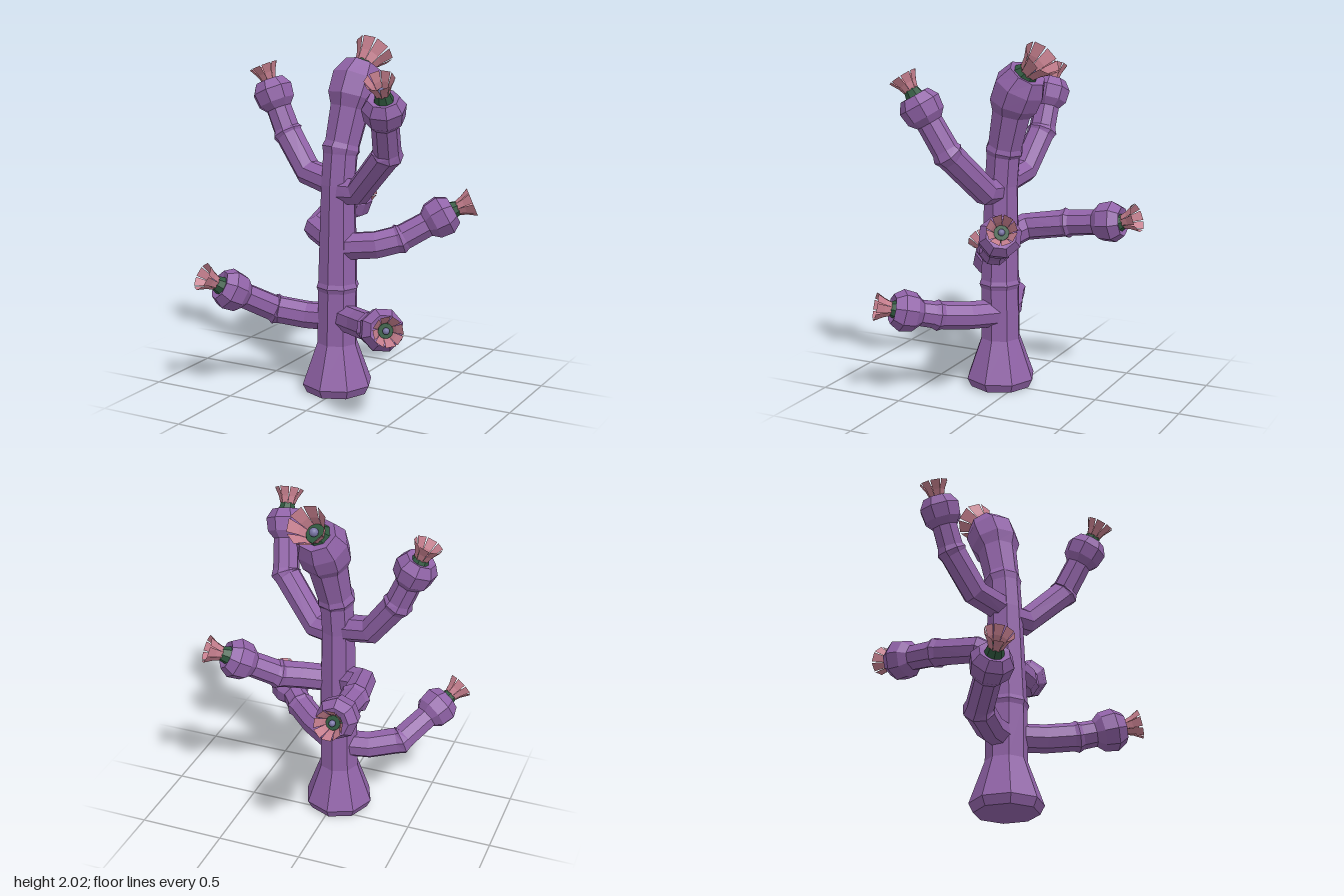
import * as THREE from 'three';

const SIDES = 8;
const V = (a) => new THREE.Vector3(a[0], a[1], a[2]);

const skin = new THREE.MeshStandardMaterial({ color: 0x9163a8 });
const petalPink = new THREE.MeshStandardMaterial({ color: 0xc67f8e, side: THREE.DoubleSide });
const calyxGreen = new THREE.MeshStandardMaterial({ color: 0x30593f });
const stamenBlue = new THREE.MeshStandardMaterial({ color: 0x7a76a6 });

// Faceted geometry from points and triangle indices
function faceted(points, index) {
  const g = new THREE.BufferGeometry();
  g.setAttribute('position', new THREE.Float32BufferAttribute(points.flatMap((p) => p.toArray()), 3));
  g.setIndex(index);
  const flat = g.toNonIndexed();
  flat.computeVertexNormals();
  return flat;
}

function mesh(name, geometry, material) {
  const m = new THREE.Mesh(geometry, material);
  m.name = name;
  return m;
}

// Sweep an octagon through rings of { p, r }, closed at both ends
function stalk(rings, startNormal) {
  const n = rings.length, pts = [], idx = [];
  const u = startNormal.clone();
  let t;
  rings.forEach(({ p, r }, i) => {
    const before = p.clone().sub(rings[Math.max(i - 1, 0)].p).normalize();
    const after = rings[Math.min(i + 1, n - 1)].p.clone().sub(p).normalize();
    t = before.add(after).normalize();
    u.addScaledVector(t, -u.dot(t)).normalize();
    const v = t.clone().cross(u);
    for (let j = 0; j < SIDES; j++) {
      const a = (j / SIDES) * Math.PI * 2;
      pts.push(p.clone().addScaledVector(u, r * Math.cos(a)).addScaledVector(v, r * Math.sin(a)));
    }
  });
  // end caps: the tip is slightly dished
  pts.push(rings[0].p.clone(), rings[n - 1].p.clone().addScaledVector(t, -0.03));
  for (let j = 0; j < SIDES; j++) {
    const k = (j + 1) % SIDES, e = (n - 1) * SIDES;
    for (let i = 0; i < n - 1; i++) {
      const a = i * SIDES, b = a + SIDES;
      idx.push(a + j, a + k, b + k, a + j, b + k, b + j);
    }
    idx.push(n * SIDES, k, j, n * SIDES + 1, e + j, e + k);
  }
  return faceted(pts, idx);
}

// Ring of eight petals with slits that open towards the rim
function petals(height, rim) {
  const pts = [], idx = [];
  const profile = [[0, 0.5, 1], [0.45, 0.67, 0.96], [1, 1, 0.86]];
  for (let j = 0; j < SIDES; j++) {
    const base = pts.length;
    for (const [h, r, width] of profile) {
      for (const s of [-1, 1]) {
        const a = ((j + 0.5 * s * width) / SIDES) * Math.PI * 2;
        pts.push(new THREE.Vector3(Math.sin(a) * r * rim, h * height, Math.cos(a) * r * rim));
      }
    }
    for (const b of [base, base + 2]) idx.push(b, b + 1, b + 3, b, b + 3, b + 2);
  }
  return faceted(pts, idx);
}

// Flower standing on a stalk tip, its rim centred on a given point
function flower(tip, rimCentre, rim) {
  const g = new THREE.Group();
  g.name = 'flower';
  const axis = rimCentre.clone().sub(tip);
  const length = axis.length(), height = rim * 1.08;
  const neck = length - height + 0.04;
  const calyx = new THREE.CylinderGeometry(rim * 0.5, rim * 0.72, neck, SIDES).toNonIndexed();
  calyx.computeVertexNormals();
  const calyxMesh = mesh('calyx', calyx, calyxGreen);
  calyxMesh.position.y = length - height - neck / 2 + 0.005;
  const crown = mesh('petals', petals(height, rim), petalPink);
  crown.position.y = length - height;
  const stamen = mesh('stamen', new THREE.IcosahedronGeometry(rim * 0.23, 1), stamenBlue);
  stamen.position.y = length - height + rim * 0.22;
  g.add(calyxMesh, crown, stamen);
  g.position.copy(tip);
  g.quaternion.setFromUnitVectors(new THREE.Vector3(0, 1, 0), axis.normalize());
  return g;
}

// Arm: plain tube, a raised joint, then a swollen head with its flower
function arm(name, path, rimCentre) {
  const R = 0.08;
  const p = path.map(V), n = p.length;
  const tip = p[n - 1], joint = p[n - 2];
  const dir = tip.clone().sub(joint).normalize();
  const inward = p[n - 3].clone().sub(joint).normalize();
  const rings = p.slice(0, n - 2).map((q) => ({ p: q, r: R }));
  rings.push({ p: joint.clone().addScaledVector(inward, 0.025), r: R });
  rings.push({ p: joint, r: 0.09 });
  rings.push({ p: joint.clone().addScaledVector(dir, 0.025), r: 0.077 });
  for (const [back, r] of [[0.17, 0.075], [0.13, 0.11], [0.055, 0.12], [0, 0.085]]) {
    rings.push({ p: tip.clone().addScaledVector(dir, -back), r });
  }
  const g = new THREE.Group();
  g.name = name;
  g.add(mesh('armStalk', stalk(rings, new THREE.Vector3(0, 1, 0.3)), skin));
  g.add(flower(tip, V(rimCentre), 0.083));
  return g;
}

export function createModel() {
  const model = new THREE.Group();
  model.name = 'floweringCactus';

  // Trunk with flared foot, bending back into a large head (x, y, z, radius)
  const trunkRings = [
    [-0.02, 0, 0.11, 0.18], [-0.02, 0.05, 0.11, 0.205], [-0.02, 0.29, 0.11, 0.118],
    [-0.015, 0.595, 0.11, 0.115], [-0.015, 0.62, 0.11, 0.125], [-0.015, 0.645, 0.11, 0.115],
    [-0.015, 1.2, 0.1, 0.1], [-0.01, 1.37, 0.085, 0.1], [-0.01, 1.4, 0.078, 0.112],
    [-0.005, 1.43, 0.07, 0.102], [0.015, 1.62, 0.02, 0.115], [0.02, 1.675, 0.003, 0.145],
    [0.03, 1.77, -0.04, 0.15], [0.04, 1.845, -0.09, 0.11],
  ].map((a) => ({ p: V(a), r: a[3] }));
  const trunk = new THREE.Group();
  trunk.name = 'trunk';
  trunk.add(mesh('trunkStalk', stalk(trunkRings, new THREE.Vector3(0, 0, 1)), skin));
  trunk.add(flower(V([0.04, 1.845, -0.09]), V([0.06, 1.935, -0.19]), 0.115));
  model.add(trunk);

  // Arms: centreline points ending at joint and tip, then the flower rim centre
  model.add(
    arm('backArm', [[-0.02, 0.87, 0.11], [-0.19, 0.92, 0.03], [-0.23, 0.96, -0.22], [-0.235, 1.0, -0.56]], [-0.237, 1.03, -0.645]),
    arm('middleLeftArm', [[-0.02, 0.85, 0.13], [0.2, 0.87, 0.06], [0.31, 0.9, -0.02], [0.56, 1.06, -0.185]], [0.655, 1.105, -0.235]),
    arm('upperLeftArm', [[0, 1.17, 0.11], [0.13, 1.18, 0.13], [0.36, 1.42, 0.24], [0.42, 1.74, 0.41]], [0.43, 1.84, 0.475]),
    arm('upperRightArm', [[0, 1.2, 0.11], [-0.23, 1.25, 0.06], [-0.39, 1.46, 0.02], [-0.515, 1.75, 0.015]], [-0.55, 1.835, 0.02]),
    arm('lowerLeftArm', [[0, 0.44, 0.1], [0.18, 0.455, 0.22], [0.32, 0.48, 0.34], [0.5, 0.54, 0.53]], [0.555, 0.56, 0.605]),
    arm('lowerRightArm', [[0, 0.43, 0.1], [-0.2, 0.43, 0.14], [-0.37, 0.46, 0.21], [-0.57, 0.64, 0.48]], [-0.63, 0.7, 0.56]),
  );
  return model;
}
